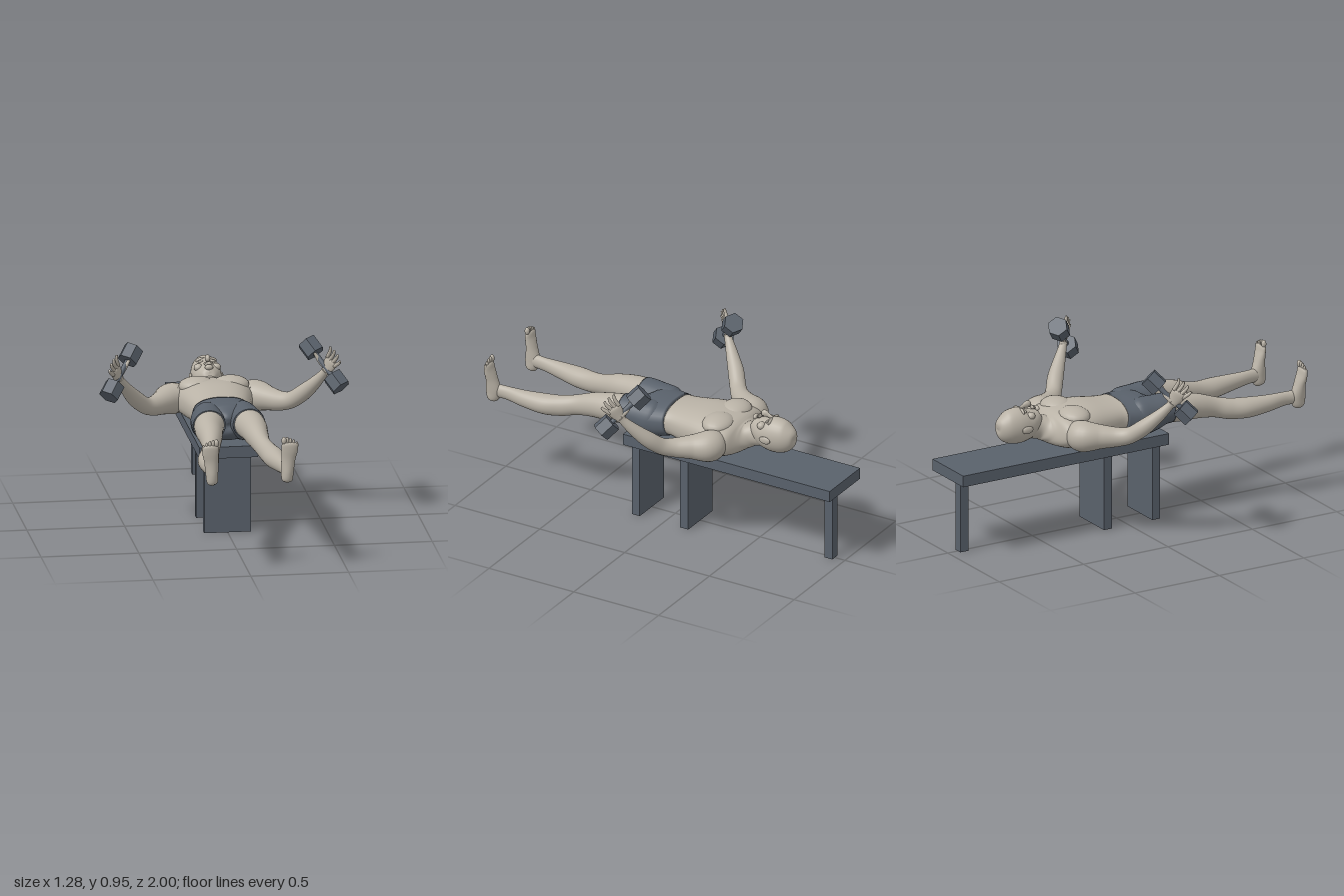
import * as THREE from 'three';

const skin = new THREE.MeshStandardMaterial({ color: 0xb9b2a6 });
skin.name = 'skin';
const slate = new THREE.MeshStandardMaterial({ color: 0x59616b });
slate.name = 'slate';

const V = (x, y, z) => new THREE.Vector3(x, y, z);
const UP = V(0, 1, 0);

function add(parent, name, geometry, material) {
  const mesh = new THREE.Mesh(geometry, material);
  mesh.name = name;
  parent.add(mesh);
  return mesh;
}

// Smooth loft through rounded sections [x, y, z, halfWidth, halfDepth, squareness = 2]
function loft(sections, up = UP, sides = 28, steps = 6) {
  const path = new THREE.CatmullRomCurve3(sections.map(s => V(s[0], s[1], s[2])), false, 'catmullrom', 0.5);
  const size = new THREE.CatmullRomCurve3(sections.map(s => V(s[3], s[4], s[5] || 2)), false, 'catmullrom', 0.5);
  const rings = (sections.length - 1) * steps;
  const pos = [], index = [];
  const bend = (c, e) => Math.sign(c) * Math.pow(Math.abs(c), e);
  for (let i = 0; i <= rings; i++) {
    const t = i / rings, c = path.getPoint(t), r = size.getPoint(t), dir = path.getTangent(t);
    const u = up.clone().cross(dir).normalize(), v = dir.clone().cross(u);
    for (let j = 0; j < sides; j++) {
      const a = j / sides * Math.PI * 2, e = 2 / r.z;
      const p = c.clone()
        .addScaledVector(u, bend(Math.cos(a), e) * Math.max(r.x, 0.0005))
        .addScaledVector(v, bend(Math.sin(a), e) * Math.max(r.y, 0.0005));
      pos.push(p.x, p.y, p.z);
      if (i < rings) {
        const k = i * sides + j, n = i * sides + (j + 1) % sides;
        index.push(k, n, k + sides, n, n + sides, k + sides);
      }
    }
  }
  // end caps
  for (const [ring, c] of [[0, path.getPoint(0)], [rings, path.getPoint(1)]]) {
    const m = pos.length / 3;
    pos.push(c.x, c.y, c.z);
    for (let j = 0; j < sides; j++) {
      const a = ring * sides + j, b = ring * sides + (j + 1) % sides;
      if (ring) index.push(m, a, b); else index.push(m, b, a);
    }
  }
  const g = new THREE.BufferGeometry();
  g.setAttribute('position', new THREE.Float32BufferAttribute(pos, 3));
  g.setIndex(index);
  g.computeVertexNormals();
  return g;
}

function ellipsoid(parent, name, p, r, material = skin) {
  const mesh = add(parent, name, new THREE.SphereGeometry(1, 20, 14), material);
  mesh.position.set(...p);
  mesh.scale.set(...r);
  return mesh;
}

function box(parent, name, w, h, d, x, y, z) {
  add(parent, name, new THREE.BoxGeometry(w, h, d), slate).position.set(x, y, z);
}

function createBench() {
  const g = new THREE.Group();
  g.name = 'bench';
  box(g, 'benchTop', 0.3, 0.06, 1.22, 0, 0.43, -0.39);
  box(g, 'frontLegPanel', 0.24, 0.4, 0.047, 0, 0.2, 0.162);
  box(g, 'middleLegPanel', 0.24, 0.4, 0.047, 0, 0.2, -0.124);
  box(g, 'rearLegPost', 0.05, 0.4, 0.047, 0, 0.2, -0.917);
  return g;
}

function createHead() {
  const g = new THREE.Group();
  g.name = 'head';
  add(g, 'skull', loft([
    [0, 0.62, -0.706, 0, 0], [0, 0.62, -0.697, 0.036, 0.042], [0, 0.615, -0.66, 0.064, 0.08],
    [0, 0.612, -0.605, 0.076, 0.094], [0, 0.614, -0.55, 0.075, 0.088], [0, 0.628, -0.512, 0.066, 0.07],
    [0, 0.645, -0.485, 0.048, 0.049], [0, 0.658, -0.47, 0.027, 0.028], [0, 0.662, -0.464, 0, 0],
  ]), skin);
  add(g, 'nose', loft([
    [0, 0.698, -0.575, 0.006, 0.008], [0, 0.708, -0.55, 0.008, 0.013],
    [0, 0.714, -0.527, 0.014, 0.019], [0, 0.702, -0.515, 0.008, 0.008],
  ], UP, 14), skin);
  ellipsoid(g, 'upperLip', [0, 0.694, -0.503], [0.024, 0.01, 0.006]);
  ellipsoid(g, 'lowerLip', [0, 0.691, -0.494], [0.02, 0.01, 0.006]);
  ellipsoid(g, 'chin', [0, 0.682, -0.475], [0.022, 0.014, 0.013]);
  for (const s of [-1, 1]) {
    ellipsoid(g, 'brow', [s * 0.03, 0.693, -0.578], [0.025, 0.012, 0.008]).rotation.z = -s * 0.3;
    ellipsoid(g, 'eye', [s * 0.03, 0.688, -0.561], [0.015, 0.009, 0.007]);
    ellipsoid(g, 'cheek', [s * 0.045, 0.665, -0.535], [0.024, 0.02, 0.022]);
    ellipsoid(g, 'ear', [s * 0.079, 0.605, -0.573], [0.009, 0.02, 0.032]);
  }
  return g;
}

function createTorso() {
  const g = new THREE.Group();
  g.name = 'torso';
  add(g, 'chestAndNeck', loft([
    [0, 0.59, -0.52, 0.055, 0.058], [0, 0.58, -0.465, 0.06, 0.062], [0, 0.57, -0.435, 0.105, 0.066],
    [0, 0.565, -0.405, 0.19, 0.079, 2.2], [0, 0.565, -0.36, 0.215, 0.095, 2.3], [0, 0.565, -0.29, 0.2, 0.105, 2.4],
    [0, 0.567, -0.21, 0.18, 0.106, 2.4], [0, 0.567, -0.12, 0.16, 0.096, 2.4], [0, 0.57, -0.05, 0.146, 0.086, 2.4],
    [0, 0.57, -0.015, 0.147, 0.085, 2.4],
  ], UP, 40), skin);
  for (const s of [-1, 1]) ellipsoid(g, 'chestMuscle', [s * 0.085, 0.637, -0.305], [0.095, 0.046, 0.08]);
  return g;
}

function createShorts() {
  const g = new THREE.Group();
  g.name = 'shorts';
  add(g, 'waistAndSeat', loft([
    [0, 0.57, -0.02, 0.151, 0.088, 2.4], [0, 0.563, 0.04, 0.165, 0.096, 2.4], [0, 0.561, 0.1, 0.174, 0.096, 2.4],
    [0, 0.57, 0.15, 0.13, 0.085], [0, 0.58, 0.185, 0.05, 0.05], [0, 0.58, 0.195, 0, 0],
  ], UP, 40), slate);
  for (const s of [-1, 1]) {
    add(g, 'shortsLeg', loft([
      [s * 0.08, 0.56, 0.01, 0.05, 0.07], [s * 0.088, 0.558, 0.07, 0.083, 0.098], [s * 0.094, 0.567, 0.14, 0.086, 0.094],
      [s * 0.1, 0.58, 0.2, 0.085, 0.081], [s * 0.102, 0.582, 0.245, 0.083, 0.078],
    ]), slate);
  }
  return g;
}

function createLeg(s) {
  const g = new THREE.Group();
  g.name = s > 0 ? 'leftLeg' : 'rightLeg';
  add(g, 'thighAndCalf', loft([
    [s * 0.1, 0.582, 0.22, 0.079, 0.076], [s * 0.113, 0.575, 0.31, 0.071, 0.073], [s * 0.118, 0.565, 0.4, 0.059, 0.065],
    [s * 0.13, 0.544, 0.5, 0.045, 0.053], [s * 0.15, 0.527, 0.58, 0.047, 0.054], [s * 0.169, 0.522, 0.67, 0.054, 0.053],
    [s * 0.18, 0.526, 0.78, 0.041, 0.044], [s * 0.183, 0.533, 0.88, 0.026, 0.036], [s * 0.19, 0.535, 0.955, 0.026, 0.036],
  ]), skin);
  add(g, 'foot', loft([
    [s * 0.19, 0.473, 0.965, 0, 0], [s * 0.191, 0.487, 0.962, 0.026, 0.03], [s * 0.193, 0.535, 0.957, 0.032, 0.04],
    [s * 0.197, 0.6, 0.965, 0.036, 0.028], [s * 0.202, 0.65, 0.975, 0.042, 0.02],
    [s * 0.203, 0.684, 0.979, 0.038, 0.014], [s * 0.203, 0.693, 0.98, 0, 0],
  ], V(0, 0, 1)), skin);
  for (let i = 0; i < 5; i++) {
    const r = i ? 0.0092 - i * 0.0005 : 0.013;
    ellipsoid(g, 'toe', [s * (0.173 + i * 0.0165), 0.7 - i * i * 0.0016, 0.978], [r, 0.02, r]);
  }
  return g;
}

function createArm(s) {
  const g = new THREE.Group();
  g.name = s > 0 ? 'leftArm' : 'rightArm';
  add(g, 'upperArmAndForearm', loft([
    [s * 0.15, 0.565, -0.335, 0.06, 0.07], [s * 0.215, 0.568, -0.325, 0.083, 0.08], [s * 0.272, 0.57, -0.255, 0.062, 0.062],
    [s * 0.325, 0.573, -0.19, 0.048, 0.05], [s * 0.375, 0.59, -0.145, 0.042, 0.043], [s * 0.433, 0.643, -0.098, 0.041, 0.041],
    [s * 0.483, 0.707, -0.045, 0.031, 0.031], [s * 0.518, 0.762, -0.004, 0.021, 0.022], [s * 0.528, 0.782, 0.008, 0.02, 0.02],
  ]), skin);

  // hand: the knuckle row lies along the dumbbell axis
  const across = V(s * 0.507, -0.671, 0.542).normalize();
  const reach = V(s * 0.35, 0.8, 0.5).normalize();
  const palmNormal = across.clone().cross(reach);
  add(g, 'palm', loft([
    [s * 0.52, 0.765, -0.002, 0.02, 0.018], [s * 0.535, 0.795, 0.014, 0.033, 0.015],
    [s * 0.551, 0.832, 0.03, 0.039, 0.013], [s * 0.555, 0.845, 0.036, 0.03, 0.006],
  ], palmNormal, 20), skin);
  const knuckles = V(s * 0.55, 0.832, 0.03);
  for (let i = 0; i < 4; i++) {
    const t = -0.03 + i * 0.02, long = i === 3 ? 0.85 : i === 0 ? 0.95 : 1.05;
    const a = knuckles.clone().addScaledVector(across, t);
    const c = knuckles.clone().addScaledVector(across, t * 1.5).add(V(s * 0.02, 0.052, 0.033).multiplyScalar(long));
    const b = a.clone().lerp(c, 0.55).add(V(s * 0.005, 0.002, 0.004));
    add(g, 'finger', loft([
      [...a, 0.0105, 0.0105], [...b, 0.009, 0.009], [...c, 0.006, 0.006],
    ], palmNormal, 12), skin);
  }
  add(g, 'thumb', loft([
    [s * 0.53, 0.79, 0.005, 0.014, 0.014], [s * 0.504, 0.818, -0.016, 0.012, 0.012],
    [s * 0.485, 0.847, -0.022, 0.01, 0.01], [s * 0.47, 0.872, -0.022, 0.005, 0.005],
  ], palmNormal, 12), skin);
  return g;
}

function createDumbbell(s) {
  const g = new THREE.Group();
  g.name = 'dumbbell';
  add(g, 'handle', new THREE.CylinderGeometry(0.013, 0.013, 0.2, 16), slate);
  for (const e of [-1, 1]) {
    const hex = new THREE.CylinderGeometry(0.053, 0.053, 0.08, 6).toNonIndexed();
    hex.computeVertexNormals();
    add(g, 'hexWeight', hex, slate).position.y = e * 0.112;
  }
  g.quaternion.setFromUnitVectors(UP, V(s * -0.507, 0.671, -0.542).normalize());
  g.position.set(s * 0.518, 0.809, 0.001);
  return g;
}

export function createModel() {
  const model = new THREE.Group();
  model.name = 'benchExercise';
  model.add(createBench(), createHead(), createTorso(), createShorts());
  for (const s of [-1, 1]) model.add(createLeg(s), createArm(s), createDumbbell(s));
  return model;
}
